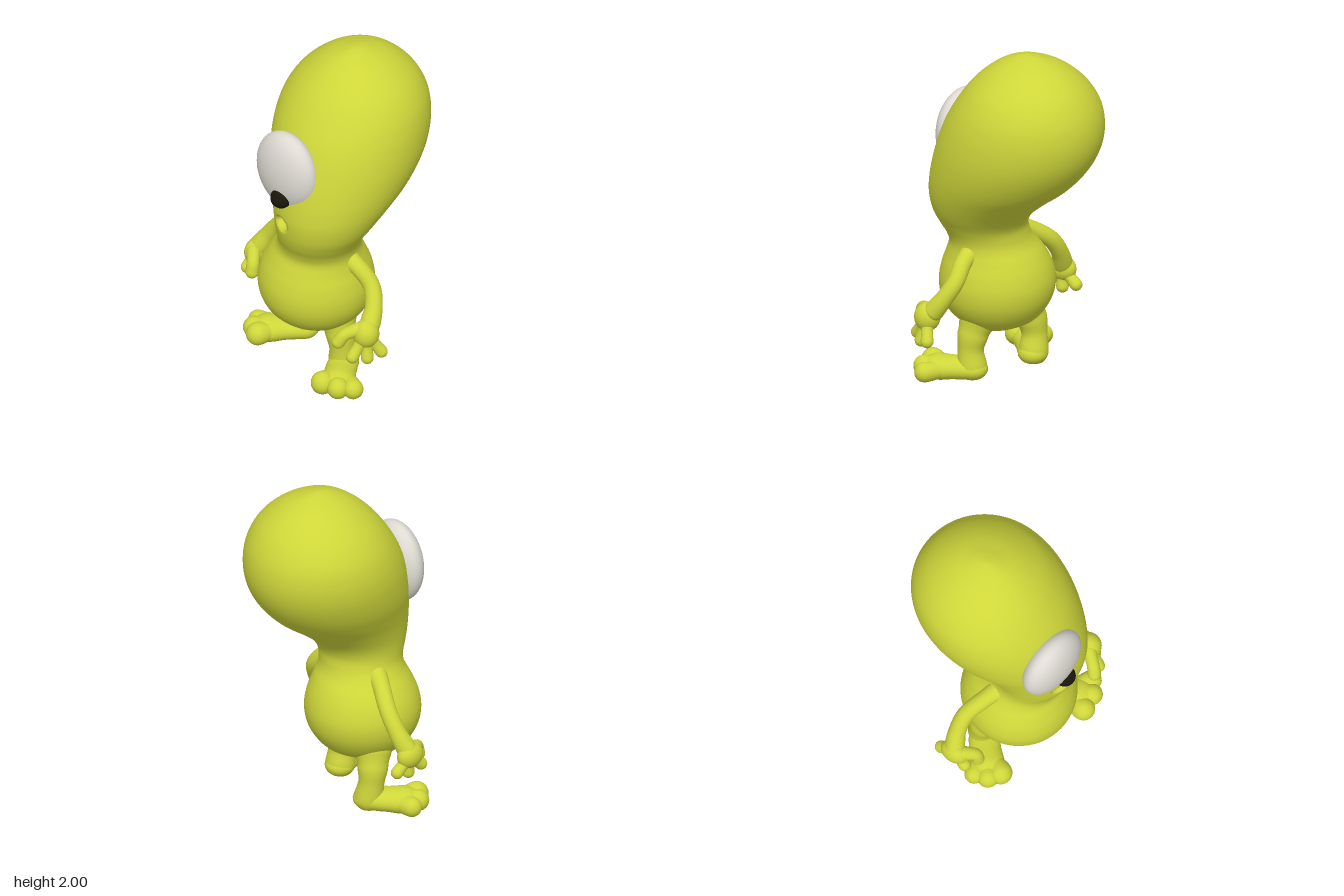
import * as THREE from 'three';
import { mergeGeometries, mergeVertices } from 'three/addons/utils/BufferGeometryUtils.js';

const V = (p) => new THREE.Vector3(...p);

// Weld a geometry, flatten whatever falls below the ground and smooth it
function finish(geo) {
  geo.deleteAttribute('uv');
  geo.deleteAttribute('normal');
  const p = geo.attributes.position;
  for (let i = 0; i < p.count; i++) if (p.getY(i) < 0.008) p.setY(i, 0.008);
  const g = mergeVertices(geo, 1e-5);
  g.computeVertexNormals();
  return g;
}

// Rounded tube through points, with a radius that changes along its length
function limb(points, radii, squash = 1) {
  const path = new THREE.CatmullRomCurve3(points.map(V));
  const n = 32;
  const tube = new THREE.TubeGeometry(path, n, 1, 24);
  const p = tube.attributes.position;
  const v = new THREE.Vector3();
  for (let i = 0; i < p.count; i++) {
    const t = Math.floor(i / 25) / n;
    const f = t * (radii.length - 1);
    const k = Math.min(Math.floor(f), radii.length - 2);
    const r = THREE.MathUtils.lerp(radii[k], radii[k + 1], THREE.MathUtils.smoothstep(f - k, 0, 1));
    const c = path.getPointAt(t);
    v.fromBufferAttribute(p, i).sub(c).multiplyScalar(r);
    v.y *= squash;
    v.add(c);
    p.setXYZ(i, v.x, v.y, v.z);
  }
  const last = points.length - 1;
  const caps = [[points[0], radii[0]], [points[last], radii[radii.length - 1]]].map(([c, r]) =>
    new THREE.SphereGeometry(r, 24, 16).scale(1, squash, 1).translate(...c));
  return finish(mergeGeometries([tube, ...caps]));
}

function blob(c, r) {
  return finish(new THREE.SphereGeometry(1, 32, 24).scale(...r).translate(...c));
}

// Body and head: height, right edge, left edge, front edge, back edge
const SLICES = [
  [0.252, -0.01, -0.01, 0.17, 0.17],
  [0.258, -0.10, 0.09, 0.25, 0.08],
  [0.28, -0.175, 0.16, 0.32, 0.015],
  [0.32, -0.235, 0.22, 0.385, -0.06],
  [0.38, -0.29, 0.275, 0.445, -0.115],
  [0.46, -0.33, 0.312, 0.483, -0.155],
  [0.55, -0.342, 0.322, 0.492, -0.167],
  [0.64, -0.322, 0.308, 0.475, -0.148],
  [0.72, -0.28, 0.283, 0.445, -0.11],
  [0.79, -0.23, 0.268, 0.42, -0.063],
  [0.85, -0.2, 0.276, 0.432, -0.044],
  [0.92, -0.194, 0.31, 0.465, -0.045],
  [1.0, -0.205, 0.36, 0.49, -0.095],
  [1.1, -0.235, 0.412, 0.5, -0.21],
  [1.2, -0.277, 0.455, 0.49, -0.34],
  [1.3, -0.32, 0.484, 0.47, -0.435],
  [1.4, -0.348, 0.5, 0.443, -0.5],
  [1.5, -0.362, 0.502, 0.41, -0.535],
  [1.6, -0.358, 0.492, 0.365, -0.542],
  [1.7, -0.332, 0.465, 0.305, -0.522],
  [1.8, -0.272, 0.41, 0.232, -0.47],
  [1.88, -0.192, 0.332, 0.152, -0.397],
  [1.94, -0.105, 0.245, 0.07, -0.31],
  [1.98, -0.01, 0.15, -0.015, -0.21],
  [1.995, 0.04, 0.1, -0.07, -0.15],
  [2.0, 0.07, 0.07, -0.11, -0.11],
];

function bodyGeometry() {
  const curve = (f) => new THREE.CatmullRomCurve3(SLICES.map(f), false, 'catmullrom', 0.5);
  const a = curve((s) => new THREE.Vector3(s[1], s[0], s[3]));
  const b = curve((s) => new THREE.Vector3(s[2], s[0], s[4]));
  const rows = (SLICES.length - 1) * 8, seg = 128;
  const pos = [], idx = [];
  for (let i = 0; i <= rows; i++) {
    const p = a.getPoint(i / rows), q = b.getPoint(i / rows);
    for (let j = 0; j < seg; j++) {
      const t = (j / seg) * Math.PI * 2;
      const x = (p.x + q.x) / 2 + ((q.x - p.x) / 2) * Math.cos(t);
      let z = (p.z + q.z) / 2 + ((p.z - q.z) / 2) * Math.sin(t);
      // Small open mouth pressed into the face
      const d = Math.hypot((x + 0.03) / 0.062, (p.y - 1.06) / 0.05);
      if (Math.sin(t) > 0 && d < 1) z -= 0.06 * THREE.MathUtils.smoothstep(1 - d, 0, 0.6);
      pos.push(x, p.y, z);
      if (i < rows) {
        const k = i * seg + j, m = i * seg + ((j + 1) % seg);
        idx.push(k, k + seg, m, m, k + seg, m + seg);
      }
    }
  }
  const g = new THREE.BufferGeometry();
  g.setAttribute('position', new THREE.Float32BufferAttribute(pos, 3));
  g.setIndex(idx);
  g.computeVertexNormals();
  return g;
}

export function createModel() {
  const skin = new THREE.MeshStandardMaterial({ color: 0xced63a });
  const white = new THREE.MeshStandardMaterial({ color: 0xdedad2 });
  const black = new THREE.MeshStandardMaterial({ color: 0x17170a });
  skin.name = 'lime skin';
  white.name = 'eye white';
  black.name = 'pupil black';

  const model = new THREE.Group();
  model.name = 'oneEyedCreature';
  const add = (name, geo, mat = skin, parent = model) => {
    const m = new THREE.Mesh(geo, mat);
    m.name = name;
    parent.add(m);
    return m;
  };

  add('bodyAndHead', bodyGeometry());

  // Eye and pupil
  const eye = add('eye', new THREE.SphereGeometry(1, 48, 32), white);
  eye.scale.set(0.215, 0.245, 0.112);
  eye.position.set(-0.035, 1.395, 0.403);
  eye.rotation.y = -0.13;
  const pupil = add('pupil', new THREE.SphereGeometry(0.062, 32, 24), black);
  pupil.position.set(-0.02, 1.255, 0.482);

  // Arms, each with a palm, three fingers and a thumb
  const arms = [
    {
      name: 'leftArm',
      path: [[0.2, 0.78, 0.18], [0.3, 0.735, 0.18], [0.385, 0.645, 0.175], [0.435, 0.55, 0.22], [0.452, 0.47, 0.275]],
      palm: [0.455, 0.425, 0.32], size: [0.075, 0.085, 0.075],
      fingers: [[0.527, 0.305, 0.272], [0.482, 0.283, 0.345], [0.425, 0.3, 0.41]],
      thumb: [[0.42, 0.455, 0.35], [0.37, 0.43, 0.41], [0.345, 0.385, 0.435]],
    },
    {
      name: 'rightArm',
      path: [[-0.14, 0.82, 0.14], [-0.24, 0.775, 0.09], [-0.35, 0.69, 0.035], [-0.435, 0.58, 0.03], [-0.49, 0.49, 0.05]],
      palm: [-0.505, 0.455, 0.06], size: [0.06, 0.075, 0.085],
      fingers: [[-0.5, 0.375, -0.035], [-0.495, 0.345, 0.055], [-0.515, 0.375, 0.135]],
      thumb: [[-0.49, 0.475, 0.11], [-0.452, 0.45, 0.165], [-0.448, 0.395, 0.18]],
    },
  ];
  for (const s of arms) {
    const g = new THREE.Group();
    g.name = s.name;
    model.add(g);
    add('arm', limb(s.path, [0.06, 0.05, 0.049, 0.05, 0.058]), skin, g);
    add('palm', blob(s.palm, s.size), skin, g);
    for (const f of s.fingers) {
      const root = s.palm.map((c, i) => c * 0.75 + f[i] * 0.25);
      add('finger', limb([root, f], [0.038, 0.033, 0.036]), skin, g);
    }
    add('thumb', limb(s.thumb, [0.04, 0.036, 0.038]), skin, g);
  }

  // Legs, each with a flat-soled foot and three toes
  const legs = [
    {
      name: 'leftLeg',
      path: [[0.15, 0.36, 0.18], [0.185, 0.26, 0.195], [0.2, 0.17, 0.2], [0.2, 0.07, 0.19]],
      foot: [[0.2, 0.06, 0.185], [0.24, 0.06, 0.27], [0.29, 0.06, 0.36]],
      toes: [[0.235, 0.068, 0.435], [0.335, 0.065, 0.425], [0.405, 0.06, 0.375]],
    },
    {
      name: 'rightLeg',
      path: [[-0.17, 0.36, 0.09], [-0.2, 0.26, 0.06], [-0.205, 0.17, 0.045], [-0.19, 0.07, 0.04]],
      foot: [[-0.182, 0.06, 0.04], [-0.26, 0.06, 0.1], [-0.34, 0.06, 0.17]],
      toes: [[-0.345, 0.068, 0.265], [-0.405, 0.065, 0.22], [-0.43, 0.06, 0.145]],
    },
  ];
  for (const s of legs) {
    const g = new THREE.Group();
    g.name = s.name;
    model.add(g);
    add('leg', limb(s.path, [0.11, 0.088, 0.074, 0.085]), skin, g);
    add('foot', limb(s.foot, [0.086, 0.09, 0.1], 0.75), skin, g);
    s.toes.forEach((t, i) => {
      const root = s.foot[1].map((c, k) => c * 0.5 + t[k] * 0.5);
      add('toe', limb([root, t], [0.05, [0.067, 0.062, 0.058][i]]), skin, g);
    });
  }
  for (const part of model.children) part.position.y -= part.isGroup && part.name.endsWith('Leg') ? 0.008 : 0;
  return model;
}
